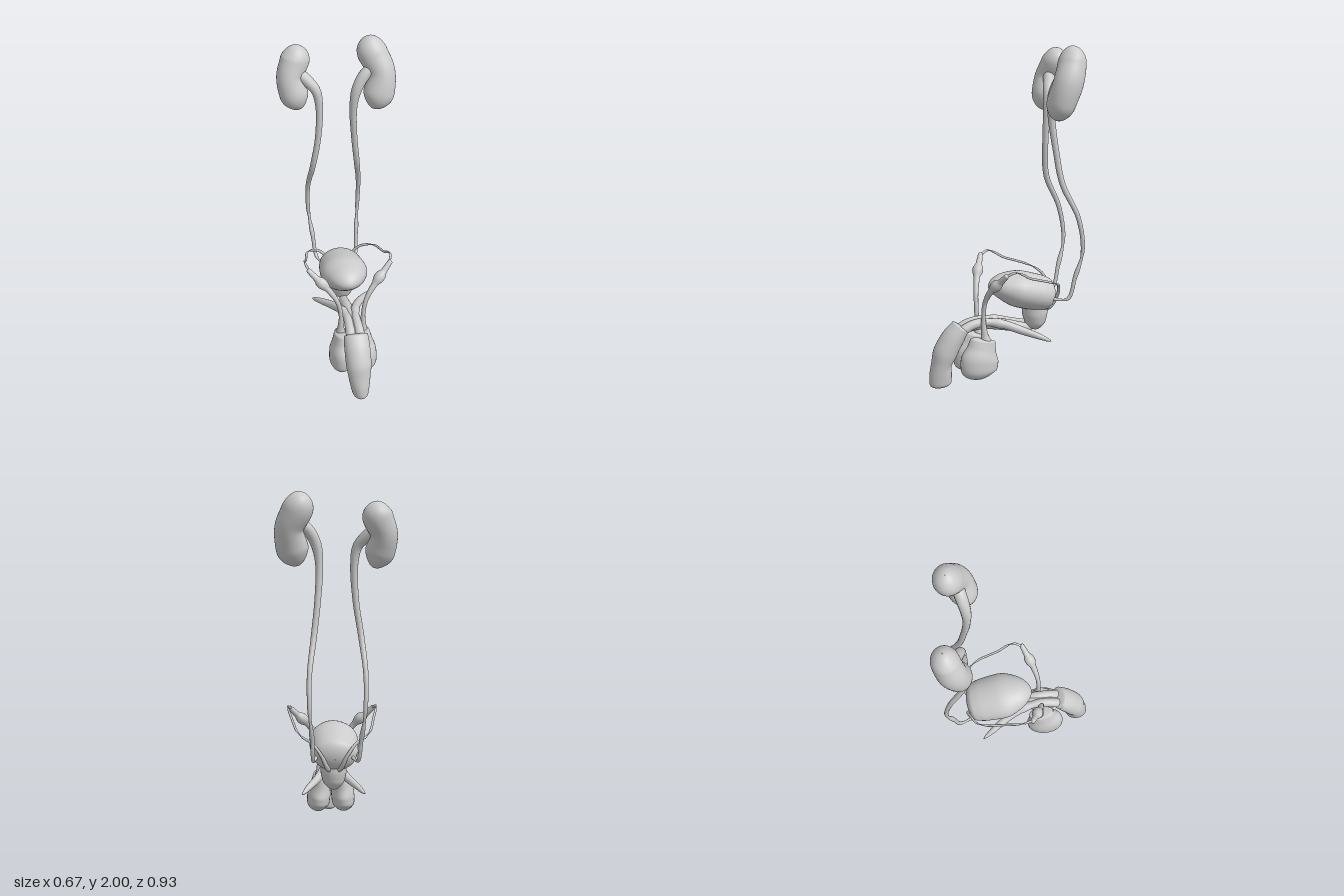
import * as THREE from 'three';

const material = new THREE.MeshStandardMaterial({ color: 0xcccccc, side: THREE.DoubleSide });

// Smooth sweep through stations [x, y, z, a, b]; a and b are the half widths of
// the section. cap is the share of the length that is domed at [start, end].
function sweep(name, stations, { rings = 48, sides = 20, cap = [0.02, 0.02], ref = null } = {}) {
  const path = new THREE.CatmullRomCurve3(stations.map(p => new THREE.Vector3(p[0], p[1], p[2])));
  const size = new THREE.CatmullRomCurve3(stations.map(p => new THREE.Vector3(p[3], p[4] ?? p[3], 0)));
  const positions = [], index = [];
  const base = ref ?? new THREE.Vector3(0, 0.3, 1).normalize();
  const dome = (u, c) => (u >= c ? 1 : Math.sqrt(Math.max(0.0004, 1 - (1 - u / c) ** 2)));
  let side = null;
  for (let i = 0; i <= rings; i++) {
    const t = 0.5 - 0.5 * Math.cos(Math.PI * i / rings);
    const p = path.getPoint(t), tan = path.getTangent(t), r = size.getPoint(t);
    // fixed reference for flattened bodies, carried-along frame for tubes
    if (ref || !side) side = new THREE.Vector3().crossVectors(base, tan);
    else side.addScaledVector(tan, -side.dot(tan));
    side.normalize();
    const up = new THREE.Vector3().crossVectors(tan, side);
    const k = dome(t, cap[0]) * dome(1 - t, cap[1]);
    for (let j = 0; j < sides; j++) {
      const a = 2 * Math.PI * j / sides;
      const v = p.clone().addScaledVector(side, r.x * k * Math.cos(a)).addScaledVector(up, r.y * k * Math.sin(a));
      positions.push(v.x, v.y, v.z);
      if (i < rings) {
        const q = i * sides + j, n = i * sides + (j + 1) % sides;
        index.push(q, n, n + sides, q, n + sides, q + sides);
      }
    }
  }
  const geometry = new THREE.BufferGeometry();
  geometry.setAttribute('position', new THREE.Float32BufferAttribute(positions, 3));
  geometry.setIndex(index);
  geometry.computeVertexNormals();
  const mesh = new THREE.Mesh(geometry, material);
  mesh.name = name;
  return mesh;
}

export function createModel() {
  const group = new THREE.Group();
  group.name = 'urinarySystem';
  const X = new THREE.Vector3(1, 0, 0), Z = new THREE.Vector3(0, 0, 1);
  const add = (...args) => group.add(sweep(...args));

  // Kidneys: bean-shaped bodies, the left one higher and further forward
  const bean = { rings: 44, sides: 32, cap: [0.28, 0.28], ref: Z };
  add('leftKidney', [
    [0.185, 2.0, -0.335, 0.08, 0.075], [0.2, 1.91, -0.325, 0.086, 0.08], [0.247, 1.8, -0.285, 0.08, 0.085],
    [0.228, 1.68, -0.248, 0.09, 0.08], [0.2, 1.59, -0.235, 0.075, 0.07],
  ], bean);
  add('rightKidney', [
    [-0.215, 1.95, -0.395, 0.075, 0.07], [-0.227, 1.87, -0.388, 0.084, 0.077], [-0.265, 1.77, -0.36, 0.075, 0.08],
    [-0.245, 1.67, -0.33, 0.082, 0.075], [-0.215, 1.585, -0.32, 0.065, 0.065],
  ], bean);

  // Ureters: funnel at the kidney, thinning down to the back of the bladder
  const duct = { rings: 90, sides: 14 };
  add('leftUreter', [
    [0.2, 1.83, -0.28, 0.035], [0.145, 1.79, -0.265, 0.034], [0.1, 1.71, -0.25, 0.03], [0.082, 1.6, -0.25, 0.022],
    [0.092, 1.4, -0.275, 0.018], [0.115, 1.2, -0.31, 0.017], [0.142, 1.0, -0.4, 0.014], [0.142, 0.8, -0.43, 0.012],
    [0.128, 0.64, -0.39, 0.012], [0.12, 0.51, -0.35, 0.011], [0.1, 0.51, -0.26, 0.011],
  ], duct);
  add('rightUreter', [
    [-0.22, 1.8, -0.35, 0.035], [-0.175, 1.76, -0.33, 0.034], [-0.125, 1.7, -0.305, 0.028], [-0.108, 1.6, -0.295, 0.022],
    [-0.118, 1.4, -0.29, 0.018], [-0.148, 1.2, -0.31, 0.017], [-0.168, 1.0, -0.4, 0.014], [-0.163, 0.8, -0.43, 0.012],
    [-0.145, 0.64, -0.39, 0.012], [-0.13, 0.51, -0.35, 0.011], [-0.1, 0.51, -0.26, 0.011],
  ], duct);

  // Bladder: egg lying front to back, blunt at the rear
  add('bladder', [
    [-0.005, 0.592, 0.1, 0.1, 0.07], [-0.005, 0.585, 0.02, 0.118, 0.086], [-0.005, 0.56, -0.09, 0.142, 0.108],
    [-0.005, 0.53, -0.2, 0.134, 0.106], [-0.005, 0.505, -0.3, 0.11, 0.085],
  ], { rings: 48, sides: 36, cap: [0.45, 0.12], ref: new THREE.Vector3(0, 1, 0) });

  // Prostate: rounded cone below the bladder
  add('prostate', [
    [0, 0.47, -0.185, 0.075, 0.078], [0, 0.41, -0.187, 0.075, 0.077], [0, 0.35, -0.19, 0.062, 0.062],
    [0, 0.3, -0.195, 0.042, 0.042],
  ], { rings: 28, sides: 24, cap: [0.05, 0.35], ref: Z });

  // Spongy body running along the underside to the urethra
  add('urethralBody', [
    [0, 0.315, -0.2, 0.014], [0, 0.325, -0.1, 0.03], [0, 0.35, 0, 0.034], [0, 0.368, 0.12, 0.032],
    [0, 0.36, 0.22, 0.03], [0, 0.31, 0.3, 0.03],
  ], { cap: [0.15, 0.02] });

  // Shaft: flattened, bending down to a rounded tip with a slight neck
  add('shaft', [
    [0, 0.372, 0.272, 0.072, 0.05], [0, 0.3, 0.325, 0.077, 0.066], [0, 0.22, 0.37, 0.076, 0.07],
    [0, 0.15, 0.394, 0.066, 0.06], [0.002, 0.09, 0.4, 0.058, 0.066], [0.004, 0.04, 0.402, 0.05, 0.066],
    [0.005, 0.006, 0.4, 0.042, 0.058],
  ], { rings: 52, sides: 28, cap: [0.015, 0.13], ref: Z });

  // Paired parts, mirrored left and right
  for (const [s, label] of [[1, 'left'], [-1, 'right']]) {
    const m = stations => stations.map(([x, ...rest]) => [s * x, ...rest]);

    // Erectile root spreading outward to a point at the back
    add(label + 'Crus', m([
      [0.18, 0.28, -0.225, 0.008], [0.14, 0.305, -0.16, 0.018], [0.085, 0.335, -0.07, 0.024],
      [0.045, 0.37, 0.03, 0.026], [0.026, 0.387, 0.13, 0.026], [0.026, 0.375, 0.22, 0.028], [0.03, 0.33, 0.3, 0.03],
    ]), { cap: [0.08, 0.02] });

    // Scrotal lobe: pear shape with a narrower flat top
    add(label + 'ScrotalLobe', m([
      [0.062, 0.3, 0.155, 0.042, 0.076], [0.066, 0.24, 0.168, 0.055, 0.088], [0.072, 0.17, 0.182, 0.07, 0.114],
      [0.076, 0.11, 0.185, 0.068, 0.11], [0.075, 0.06, 0.18, 0.06, 0.085],
    ]), { rings: 40, sides: 28, cap: [0.04, 0.32], ref: Z });

    // Spermatic cord: flared foot, thick sheath above
    add(label + 'SpermaticCord', m([
      [0.068, 0.27, 0.14, 0.036], [0.068, 0.33, 0.15, 0.02], [0.068, 0.43, 0.156, 0.013], [0.088, 0.53, 0.152, 0.014],
      [0.145, 0.62, 0.128, 0.019], [0.2, 0.675, 0.098, 0.019], [0.25, 0.73, 0.07, 0.014],
    ]), { sides: 14 });

    // Thin duct arching over to the back of the bladder
    add(label + 'DeferentDuct', m([
      [0.24, 0.72, 0.075, 0.008], [0.256, 0.742, 0.025, 0.007], [0.252, 0.725, -0.02, 0.007], [0.238, 0.695, -0.07, 0.007],
      [0.225, 0.672, -0.14, 0.007], [0.212, 0.652, -0.2, 0.007], [0.18, 0.625, -0.258, 0.007],
      [0.125, 0.595, -0.288, 0.008], [0.075, 0.53, -0.302, 0.01], [0.04, 0.45, -0.27, 0.014], [0.015, 0.41, -0.22, 0.01],
    ]), { rings: 70, sides: 10 });
  }
  return group;
}
